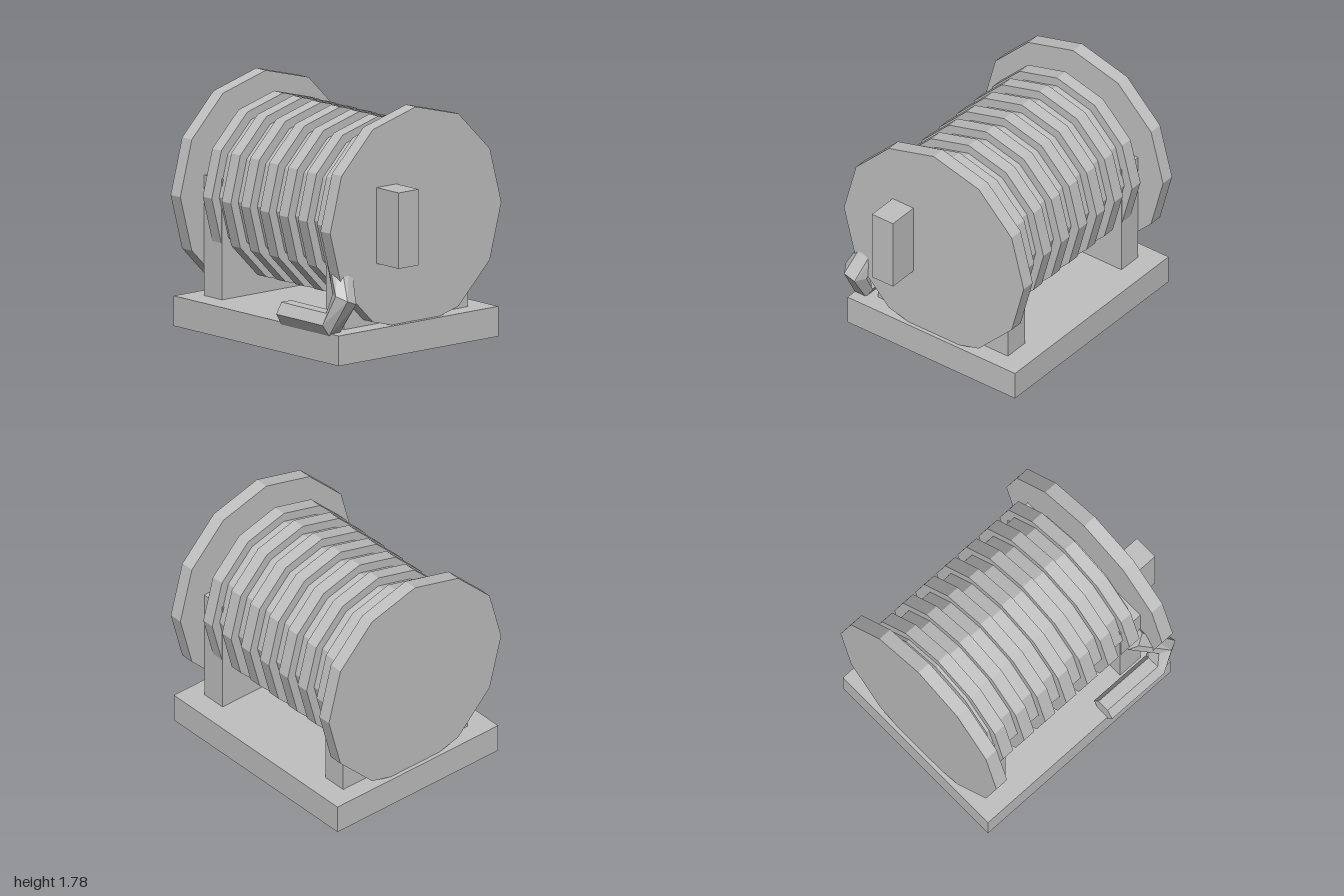
import * as THREE from 'three';

export function createModel() {
  const group = new THREE.Group();
  const grey = new THREE.MeshStandardMaterial({ color: 0xc0c0c0, flatShading: true });
  grey.name = 'plain grey';

  const add = (name, geometry) => {
    const mesh = new THREE.Mesh(geometry, grey);
    mesh.name = name;
    group.add(mesh);
    return mesh;
  };
  // Box given by its limits on each axis
  const box = (name, x0, x1, y0, y1, z0, z1) =>
    add(name, new THREE.BoxGeometry(x1 - x0, y1 - y0, z1 - z0))
      .position.set((x0 + x1) / 2, (y0 + y1) / 2, (z0 + z1) / 2);
  // Twelve-sided disc on the drum axle
  const disc = (name, radius, x0, x1) =>
    add(name, new THREE.CylinderGeometry(radius, radius, x1 - x0, 12).rotateZ(Math.PI / 2))
      .position.set((x0 + x1) / 2, 0.97, 0);

  box('base', -1, 0.79, 0, 0.22, -0.757, 0.757);
  box('rightSupport', -0.865, -0.67, 0.22, 1.1, -0.587, 0.587);
  box('leftSupport', 0.455, 0.655, 0.22, 1.1, -0.587, 0.587);

  // Drum with end flanges and wound cable
  disc('drum', 0.607, -0.8, 0.585);
  disc('rightFlange', 0.812, -0.97, -0.865);
  disc('leftFlange', 0.812, 0.655, 0.76);
  for (let i = 0; i < 7; i++) {
    const x = -0.727 + i * 0.2065;
    disc('cableTurn' + (i + 1), 0.677, x - 0.049, x + 0.049);
  }

  box('driveBox', 0.76, 1, 0.69, 1.245, 0.183, 0.372);

  // Bent six-sided lever: centre and direction of each cross-section
  const sections = [
    [[0.17, 0.285, 0.712], [1, 0, 0]],
    [[0.675, 0.285, 0.715], [0.98, 0.2, 0]],
    [[0.775, 0.475, 0.69], [0.15, 0.85, -0.35]],
    [[0.575, 0.78, 0.58], [-0.5, 0.75, -0.3]],
  ].map(([p, d]) => {
    const axis = new THREE.Vector3(...d).normalize();
    const side = new THREE.Vector3(0, 0, 1).projectOnPlane(axis).normalize();
    const up = new THREE.Vector3().crossVectors(axis, side);
    return { centre: new THREE.Vector3(...p), side, up };
  });
  const lever = new THREE.CylinderGeometry(0.095, 0.095, 1, 6, 3);
  const pos = lever.attributes.position;
  for (let i = 0; i < pos.count; i++) {
    const s = sections[Math.round((pos.getY(i) + 0.5) * 3)];
    const v = s.centre.clone()
      .addScaledVector(s.up, pos.getX(i))
      .addScaledVector(s.side, pos.getZ(i));
    pos.setXYZ(i, v.x, v.y, v.z);
  }
  lever.computeVertexNormals();
  add('lever', lever);

  return group;
}
